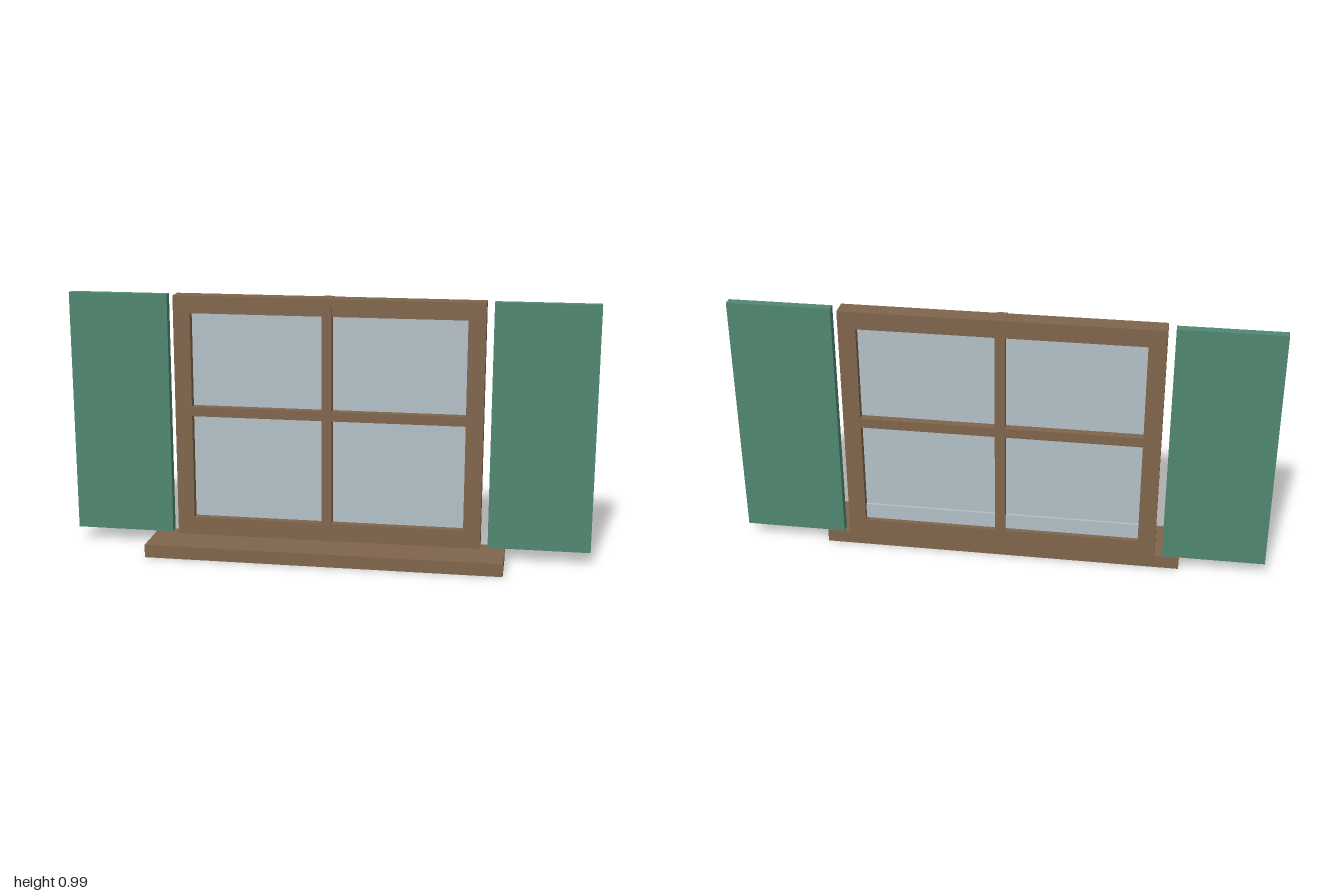
import * as THREE from 'three';

const mat = (name, color) => {
  const m = new THREE.MeshStandardMaterial({ color });
  m.name = name;
  return m;
};

export function createModel() {
  const wood = mat('brown wood', 0x80664c);
  const green = mat('green paint', 0x4f8870);
  const glass = mat('pale glass', 0xb4c0c8);
  const group = new THREE.Group();
  group.name = 'shutteredWindow';

  // Box given by its extents on each axis
  const box = (name, material, [x0, x1], [y0, y1], [z0, z1]) => {
    const mesh = new THREE.Mesh(new THREE.BoxGeometry(x1 - x0, y1 - y0, z1 - z0), material);
    mesh.position.set((x0 + x1) / 2, (y0 + y1) / 2, (z0 + z1) / 2);
    mesh.name = name;
    group.add(mesh);
  };

  // Sill
  box('sill', wood, [-0.68, 0.68], [0, 0.05], [-0.098, 0.115]);

  // Frame: one rectangle with a rectangular opening
  const outline = new THREE.Shape([
    [-0.587, 0.05], [0.587, 0.05], [0.587, 0.988], [-0.587, 0.988],
  ].map(([x, y]) => new THREE.Vector2(x, y)));
  outline.holes.push(new THREE.Path([
    [-0.522, 0.12], [-0.522, 0.922], [0.522, 0.922], [0.522, 0.12],
  ].map(([x, y]) => new THREE.Vector2(x, y))));
  const frame = new THREE.Mesh(
    new THREE.ExtrudeGeometry(outline, { depth: 0.07, bevelEnabled: false }), wood);
  frame.position.z = -0.112;
  frame.name = 'frame';
  group.add(frame);

  // Glazing bars stand slightly proud of the frame
  box('mullion', wood, [-0.019, 0.019], [0.052, 0.99], [-0.115, -0.039]);
  box('crossBar', wood, [-0.555, 0.555], [0.525, 0.562], [-0.115, -0.039]);

  // Glass, with a low strip along the bottom of its back face
  box('glass', glass, [-0.53, 0.53], [0.11, 0.93], [-0.085, -0.072]);
  box('lowerGlassStrip', glass, [-0.53, 0.53], [0.11, 0.18], [-0.094, -0.084]);

  // Shutters, mirrored
  for (const [side, x] of [['left', [0.615, 1]], ['right', [-1, -0.615]]]) {
    box(`${side}Shutter`, green, x, [0.05, 0.988], [-0.095, -0.061]);
  }
  return group;
}
